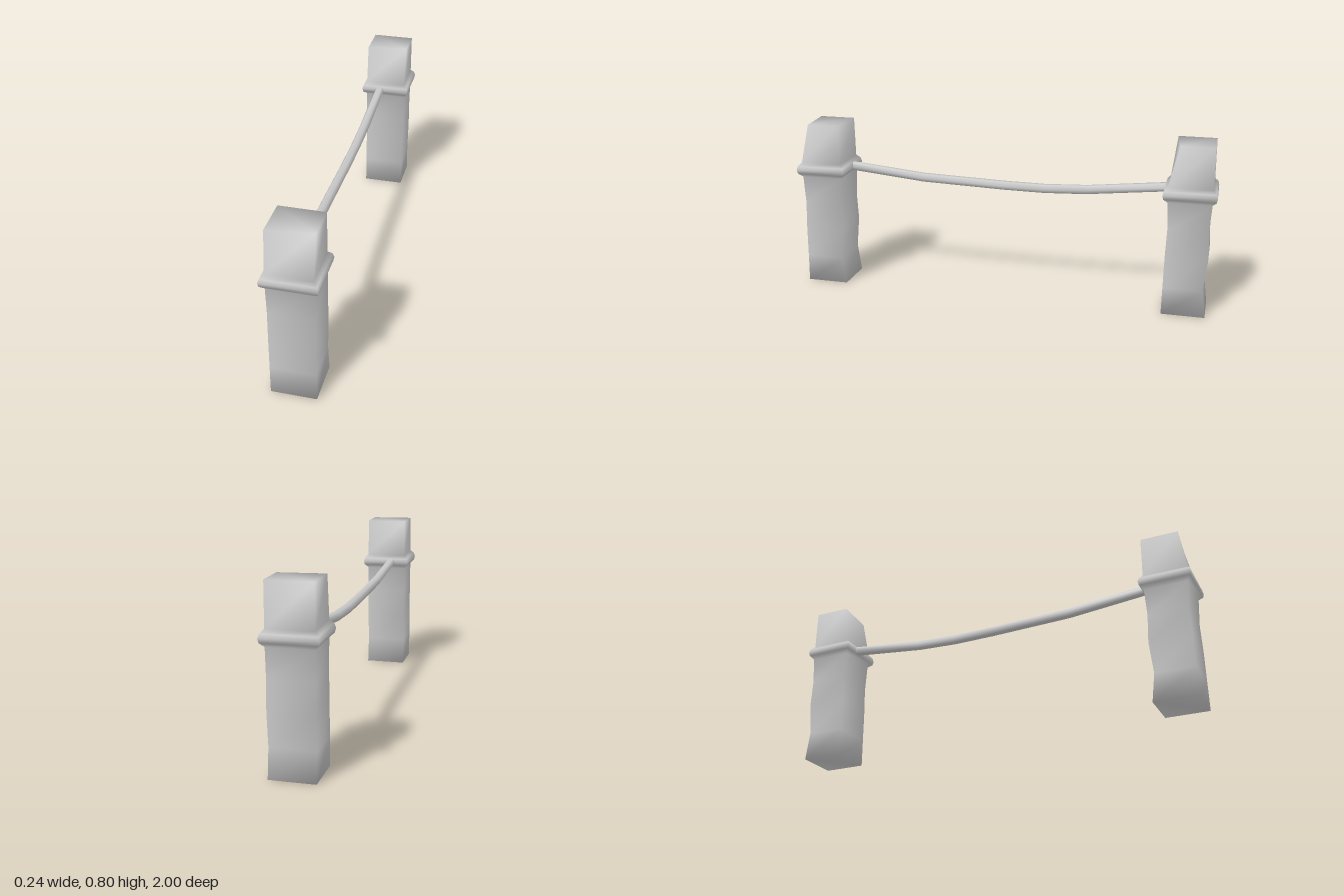
import * as THREE from 'three';

const grey = new THREE.MeshStandardMaterial({ color: 0xcccccc });

// Skin a stack of equal-sized cross-sections, capped at both ends, with smooth shared normals.
function loft(rings) {
  const n = rings[0].length;
  const last = (rings.length - 1) * n;
  const index = [];
  for (let i = 0; i < rings.length - 1; i++) {
    for (let j = 0; j < n; j++) {
      const a = i * n + j;
      const b = i * n + (j + 1) % n;
      index.push(a, b, b + n, a, b + n, a + n);
    }
  }
  for (let j = 1; j < n - 1; j++) {
    index.push(0, j + 1, j);
    index.push(last, last + j, last + j + 1);
  }
  const geometry = new THREE.BufferGeometry();
  geometry.setAttribute('position', new THREE.Float32BufferAttribute(rings.flat(2), 3));
  geometry.setIndex(index);
  geometry.computeVertexNormals();
  return geometry;
}

// Square post section: half width, and front/back depth (front may be skewed).
function square([y, half, front, back, skew = 0]) {
  return [
    [half, y, front - skew],
    [half, y, back],
    [-half, y, back],
    [-half, y, front + skew],
  ];
}

function postGeometry() {
  return loft([
    // roughly hewn shaft
    [0, 0.1, 0.1, -0.1],
    [0.13, 0.1, 0.098, -0.083],
    [0.28, 0.1, 0.096, -0.098],
    [0.41, 0.1, 0.091, -0.092],
    [0.54, 0.1, 0.098, -0.1],
    // rounded collar
    [0.558, 0.118, 0.116, -0.116],
    [0.576, 0.122, 0.12, -0.12],
    [0.595, 0.116, 0.116, -0.116],
    [0.612, 0.1, 0.1, -0.1],
    // tapered, slightly skewed head
    [0.8, 0.1, 0.066, -0.098, 0.01],
  ].map(square));
}

// Hexagonal rope hanging in a shallow sag between the collars.
function ropeGeometry() {
  const path = [[-0.775, 0.577], [-0.4, 0.536], [-0.2, 0.527], [0, 0.529], [0.4, 0.541], [0.775, 0.577]];
  return loft(path.map(([z, y]) => Array.from({ length: 6 }, (_, j) => {
    const a = j * Math.PI / 3;
    return [-0.028 + 0.024 * Math.cos(a), y + 0.022 * Math.sin(a), z];
  })));
}

export function createModel() {
  const model = new THREE.Group();
  model.name = 'ropeBarrier';

  const geometry = postGeometry();
  for (const [name, z] of [['frontPost', 0.88], ['backPost', -0.88]]) {
    const post = new THREE.Mesh(geometry, grey);
    post.name = name;
    post.position.z = z;
    model.add(post);
  }

  const rope = new THREE.Mesh(ropeGeometry(), grey);
  rope.name = 'rope';
  model.add(rope);
  return model;
}
